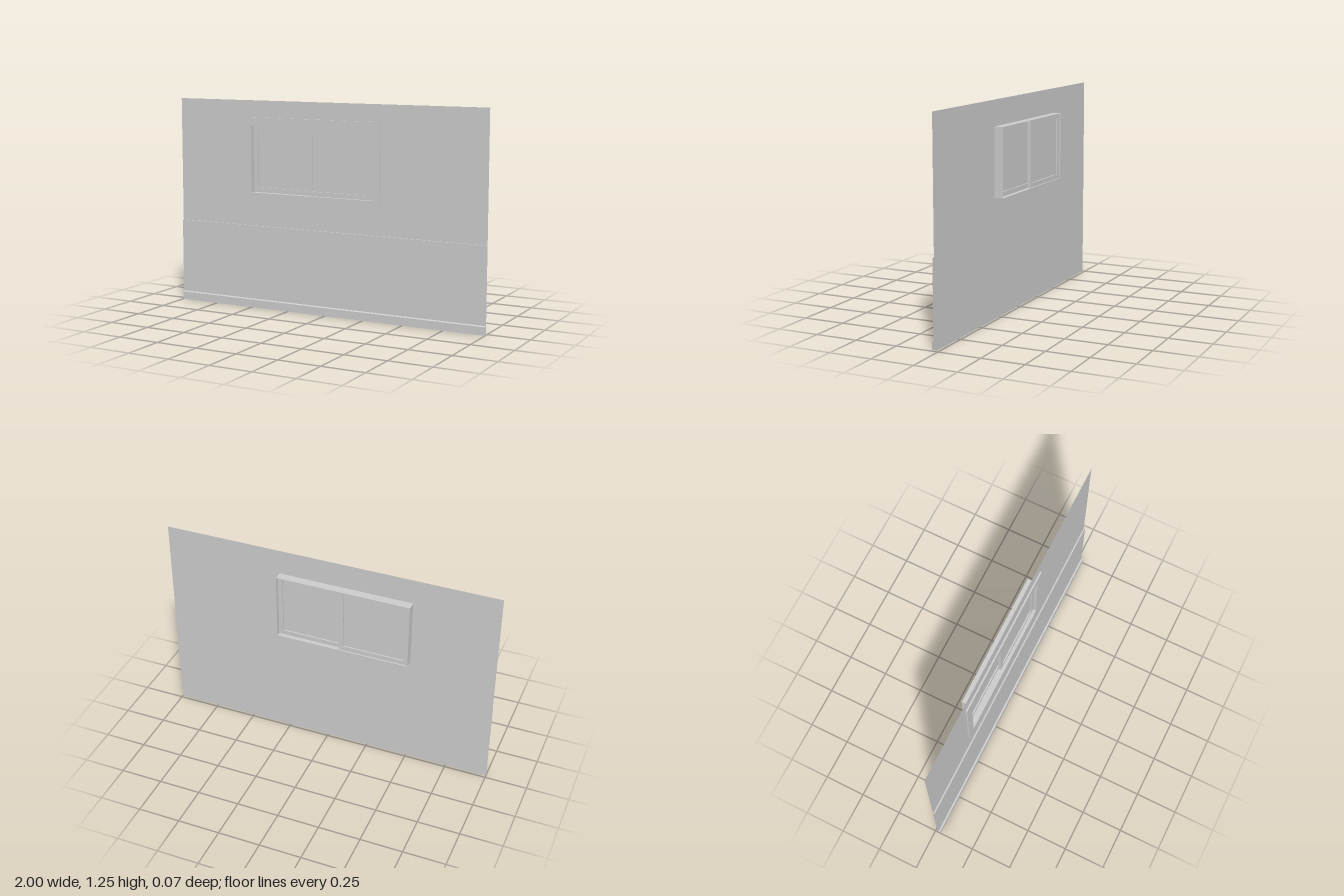
import * as THREE from 'three';

const material = new THREE.MeshStandardMaterial({ color: 0xcccccc, side: THREE.DoubleSide });

function add(parent, name, geometry, z = 0) {
  const mesh = new THREE.Mesh(geometry, material);
  mesh.name = name;
  mesh.position.z = z;
  parent.add(mesh);
  return mesh;
}

// Flat-faced band of quads between two matching polylines
function band(a, b) {
  const pos = [];
  for (let i = 0; i + 1 < a.length; i++) {
    pos.push(...a[i], ...b[i], ...b[i + 1], ...a[i], ...b[i + 1], ...a[i + 1]);
  }
  const g = new THREE.BufferGeometry();
  g.setAttribute('position', new THREE.Float32BufferAttribute(pos, 3));
  g.computeVertexNormals();
  return g;
}

// Rectangle outline, counter-clockwise
const corners = (x0, x1, y0, y1) => [[x0, y0], [x1, y0], [x1, y1], [x0, y1]];

// Rectangular sheet with a rectangular opening
function sheet(outer, inner) {
  const toPoints = (r) => corners(...r).map(([x, y]) => new THREE.Vector2(x, y));
  const shape = new THREE.Shape(toPoints(outer));
  shape.holes.push(new THREE.Path(toPoints(inner).reverse()));
  return shape;
}
const ring = (outer, inner, depth) =>
  new THREE.ExtrudeGeometry(sheet(outer, inner), { depth, bevelEnabled: false });

// Moulding running the full width of the wall, profile given as [y, z]
const moulding = (profile) =>
  band(profile.map(([y, z]) => [-1, y, z]), profile.map(([y, z]) => [1, y, z]));

// Sliding sash: frame with a pane set in the middle of its depth
function sash(name, x0, x1, y0, y1, zBack) {
  const g = new THREE.Group();
  g.name = name;
  const bar = 0.027, depth = 0.017;
  const inner = [x0 + bar, x1 - bar, y0 + bar, y1 - bar];
  add(g, name + 'Frame', ring([x0, x1, y0, y1], inner, depth), zBack);
  const pane = new THREE.PlaneGeometry(inner[1] - inner[0], inner[3] - inner[2]);
  pane.translate((x0 + x1) / 2, (y0 + y1) / 2, 0);
  add(g, name + 'Pane', pane, zBack + depth / 2);
  return g;
}

export function createModel() {
  const model = new THREE.Group();
  model.name = 'wallWithWindow';
  const opening = [-0.5, 0.3, 0.7, 1.1];
  const wallZ = 0.016;

  // Wall sheet with the window opening
  add(model, 'wall', new THREE.ShapeGeometry(sheet([-1, 1, 0, 1.25], opening)), wallZ);

  // Lower panelling and skirting, open at the ends
  add(model, 'wainscot', moulding([[0.05, 0.025], [0.5, 0.025], [0.5, wallZ]]));
  add(model, 'baseboard', moulding([[0, 0.035], [0.048, 0.035], [0.053, 0.025]]));

  // Window: front casing, sleeve through the wall, two sliding sashes
  const frame = new THREE.Group();
  frame.name = 'window';
  model.add(frame);
  add(frame, 'casing', ring([-0.55, 0.35, 0.65, 1.15], opening, 0.01), wallZ);
  const loop = corners(...opening);
  loop.push(loop[0]);
  add(frame, 'sleeve', band(loop.map((p) => [...p, wallZ]), loop.map((p) => [...p, -0.035])));
  frame.add(sash('rightSash', -0.5, -0.08, 0.7, 1.1, -0.027));
  frame.add(sash('leftSash', -0.12, 0.3, 0.7, 1.1, -0.01));

  return model;
}
